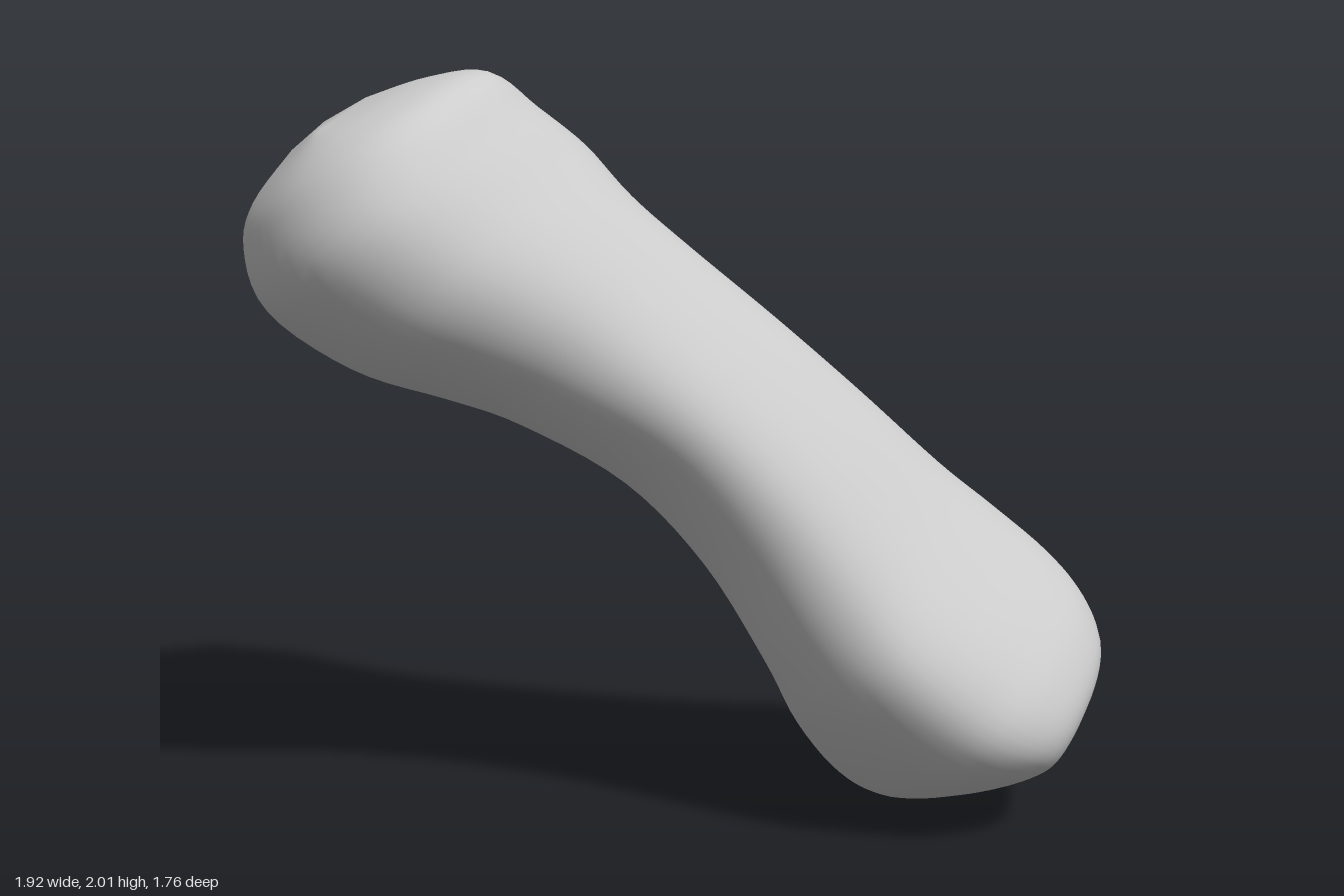
import * as THREE from 'three';

// Cross-section frame: the shaft runs along AXIS, SIDE and FRONT span each section.
const AXIS = new THREE.Vector3(-0.509, 0.694, -0.509);
const SIDE = new THREE.Vector3(0.707, 0, -0.707);
const FRONT = new THREE.Vector3(0.491, 0.72, 0.491);

// Directions in which each section's extent is given (degrees from SIDE towards FRONT).
const ANGLES = [0, 55, 125, 180, 235, 305].map(THREE.MathUtils.degToRad);

// Position along the shaft, then the extent in each of the six directions.
const SECTIONS = [
  [-1.255, 0.10, 0.09, 0.09, 0.10, 0.05, 0.06],
  [-1.235, 0.24, 0.21, 0.21, 0.22, 0.12, 0.18],
  [-1.17, 0.36, 0.355, 0.32, 0.33, 0.21, 0.32],
  [-1.05, 0.44, 0.435, 0.365, 0.41, 0.315, 0.43],
  [-0.90, 0.46, 0.46, 0.37, 0.44, 0.365, 0.43],
  [-0.70, 0.43, 0.445, 0.36, 0.45, 0.375, 0.35],
  [-0.50, 0.36, 0.41, 0.355, 0.41, 0.34, 0.24],
  [-0.20, 0.285, 0.38, 0.362, 0.38, 0.265, 0.175],
  [0.10, 0.25, 0.355, 0.36, 0.375, 0.245, 0.17],
  [0.40, 0.255, 0.333, 0.35, 0.385, 0.31, 0.225],
  [0.60, 0.31, 0.335, 0.345, 0.42, 0.39, 0.30],
  [0.80, 0.375, 0.37, 0.34, 0.47, 0.49, 0.385],
  [1.00, 0.395, 0.355, 0.34, 0.49, 0.52, 0.425],
  [1.15, 0.335, 0.32, 0.33, 0.425, 0.44, 0.37],
  [1.23, 0.24, 0.20, 0.23, 0.33, 0.34, 0.28],
  [1.28, 0.09, 0.06, 0.09, 0.22, 0.19, 0.12],
];
const RINGS = 75;
const ARC = 8;
const SEGMENTS = ARC * ANGLES.length;

// Knuckles and hollows: direction and width in degrees, relative height,
// and the stretch of shaft over which each one grows in.
const SWELLS = [
  { angle: -28, width: 14, height: 0.1, from: -0.85, to: -1.1 }, // lower knuckle
  { angle: -54, width: 13, height: -0.1, from: -0.85, to: -1.1 }, // groove beside it
  { angle: -35, width: 24, height: -0.06, from: 0.5, to: 0.9 }, // hollow behind the head
  { angle: 30, width: 20, height: -0.05, from: 0.6, to: 1.0 }, // flat on the head
];

const { clamp, radToDeg, smoothstep } = THREE.MathUtils;

// Smooth closed outline touching all six extents: corners of the hexagon, rounded off.
function outline(extents) {
  const n = ANGLES.length;
  const corners = ANGLES.map((t1, k) => {
    const t2 = ANGLES[(k + 1) % n];
    const h1 = extents[k], h2 = extents[(k + 1) % n];
    const det = Math.sin(t2 - t1);
    return new THREE.Vector2(
      (h1 * Math.sin(t2) - h2 * Math.sin(t1)) / det,
      (h2 * Math.cos(t1) - h1 * Math.cos(t2)) / det);
  });
  const points = [];
  corners.forEach((corner, k) => {
    const start = corners[(k + n - 1) % n].clone().lerp(corner, 0.5);
    const end = corner.clone().lerp(corners[(k + 1) % n], 0.5);
    const arc = new THREE.QuadraticBezierCurve(start, corner, end);
    for (let j = 0; j < ARC; j++) points.push(arc.getPoint(j / ARC));
  });
  return points;
}

function swell(point, s) {
  const angle = radToDeg(Math.atan2(point.y, point.x));
  let scale = 1;
  for (const w of SWELLS) {
    const grow = smoothstep(clamp((s - w.from) / (w.to - w.from), 0, 1), 0, 1);
    scale += w.height * grow * Math.exp(-(((angle - w.angle) / w.width) ** 2));
  }
  point.multiplyScalar(scale);
}

// The upper end face leans back: it drops towards the front and the left.
function lean(s, a, b) {
  return s - smoothstep(s, 0.6, 1.15) * (0.19 * b + 0.24 * Math.max(0, a));
}

function boneGeometry() {
  const columns = SECTIONS[0].map((_, c) =>
    new THREE.SplineCurve(SECTIONS.map((row, i) => new THREE.Vector2(i, row[c]))));
  const positions = [];
  const indices = [];
  const place = (s, a, b) => {
    const p = new THREE.Vector3(0, 1, 0).addScaledVector(AXIS, lean(s, a, b))
      .addScaledVector(SIDE, a).addScaledVector(FRONT, b);
    positions.push(p.x, p.y, p.z);
  };

  // Rings along the shaft
  const poles = [];
  for (let i = 0; i <= RINGS; i++) {
    const [s, ...extents] = columns.map((curve) => curve.getPoint(i / RINGS).y);
    const centre = new THREE.Vector2();
    for (const point of outline(extents)) {
      swell(point, s);
      centre.addScaledVector(point, 1 / SEGMENTS);
      place(s, point.x, point.y);
    }
    if (i === 0) poles.push([s - 0.006, centre.x, centre.y]);
    if (i === RINGS) poles.push([s + 0.012, centre.x, centre.y]);
  }
  poles.forEach((pole) => place(...pole));

  // Skin between rings, and a fan closing each end
  const low = (RINGS + 1) * SEGMENTS, high = low + 1;
  const last = RINGS * SEGMENTS;
  for (let j = 0; j < SEGMENTS; j++) {
    const k = (j + 1) % SEGMENTS;
    for (let r = 0; r < last; r += SEGMENTS) {
      const q = r + SEGMENTS;
      indices.push(r + j, q + j, r + k, q + j, q + k, r + k);
    }
    indices.push(low, j, k, high, last + k, last + j);
  }

  const geometry = new THREE.BufferGeometry();
  geometry.setAttribute('position', new THREE.Float32BufferAttribute(positions, 3));
  geometry.setIndex(indices);
  geometry.computeVertexNormals();
  return geometry;
}

export function createModel() {
  const boneGrey = new THREE.MeshStandardMaterial({ color: 0xcccccc });
  boneGrey.name = 'bone grey';
  const bone = new THREE.Mesh(boneGeometry(), boneGrey);
  bone.name = 'bone';
  const model = new THREE.Group();
  model.name = 'fingerBone';
  model.add(bone);
  return model;
}
